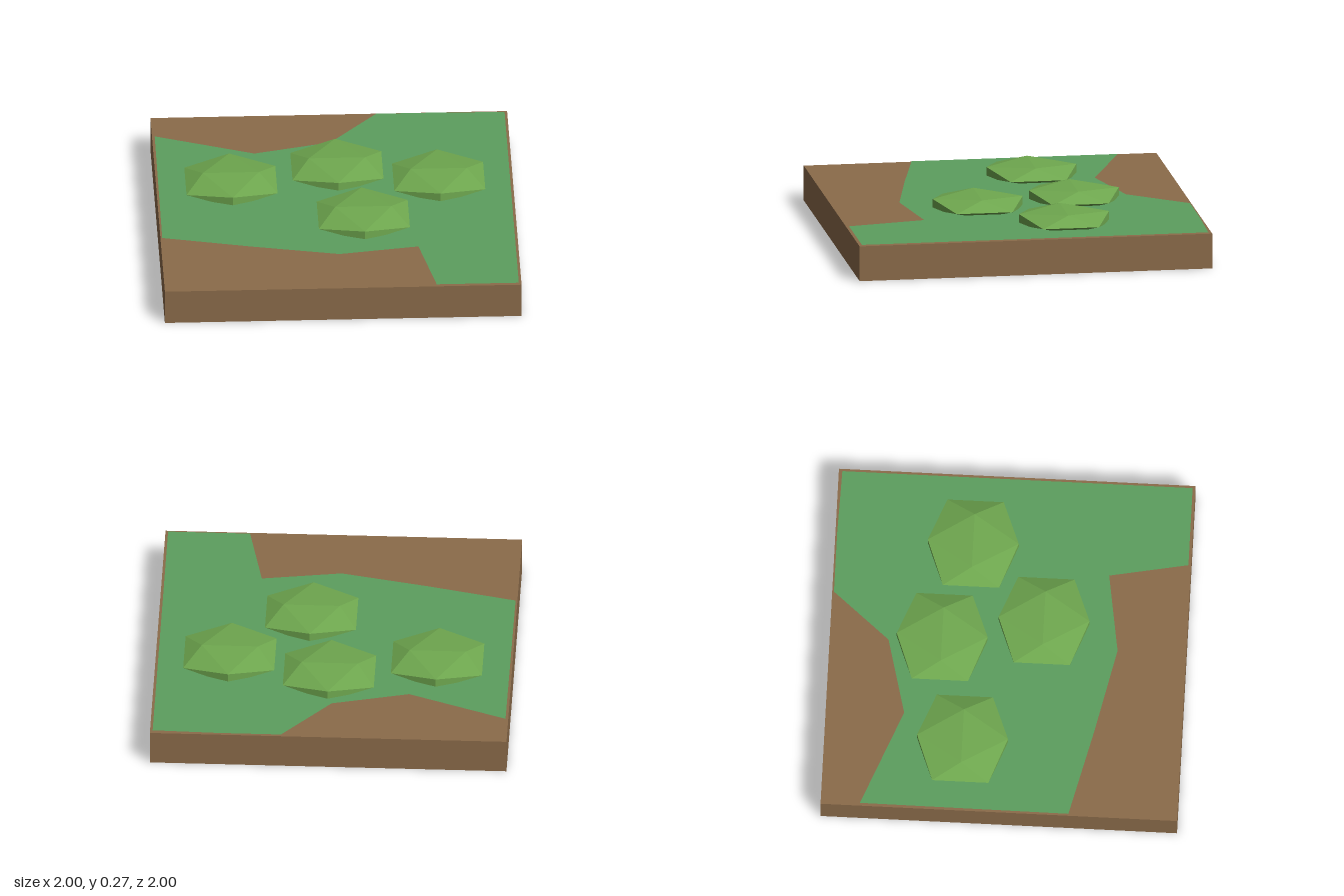
import * as THREE from 'three';

export function createModel() {
  const model = new THREE.Group();
  model.name = 'groundTile';

  const soil = new THREE.MeshStandardMaterial({ color: 0x8b6b4a });
  soil.name = 'soilBrown';
  const grass = new THREE.MeshStandardMaterial({ color: 0x5c9e5e, side: THREE.DoubleSide });
  grass.name = 'grassGreen';
  const leaf = new THREE.MeshStandardMaterial({ color: 0x6fa84f, flatShading: true });
  leaf.name = 'leafGreen';

  const add = (name, geometry, material, x, y, z) => {
    const mesh = new THREE.Mesh(geometry, material);
    mesh.name = name;
    mesh.position.set(x, y, z);
    model.add(mesh);
  };

  // Square slab of soil
  add('soilSlab', new THREE.BoxGeometry(2, 0.2, 2), soil, 0, 0.1, 0);

  // Irregular sheet of grass, outlined as [x, z]
  const outline = [
    [-0.985, -0.78], [-0.435, -0.56], [-0.005, -0.67], [0.265, -0.99], [0.62, -0.99], [0.985, -0.98],
    [0.985, 0.985], [0.525, 0.985], [0.44, 0.545], [-0.005, 0.615], [-0.49, 0.51], [-0.99, 0.39],
  ];
  const shape = new THREE.Shape(outline.map(([x, z]) => new THREE.Vector2(x, -z)));
  add('grassPatch', new THREE.ShapeGeometry(shape).rotateX(-Math.PI / 2), grass, 0, 0.205, 0);

  // Flattened faceted bushes, partly sunk into the ground
  const bush = new THREE.IcosahedronGeometry(0.3, 0).scale(1, 0.2, 1);
  for (const [x, z] of [[-0.58, -0.225], [0.02, -0.37], [0.585, -0.225], [0.145, 0.195]]) {
    add('bush', bush, leaf, x, 0.222, z);
  }

  return model;
}
